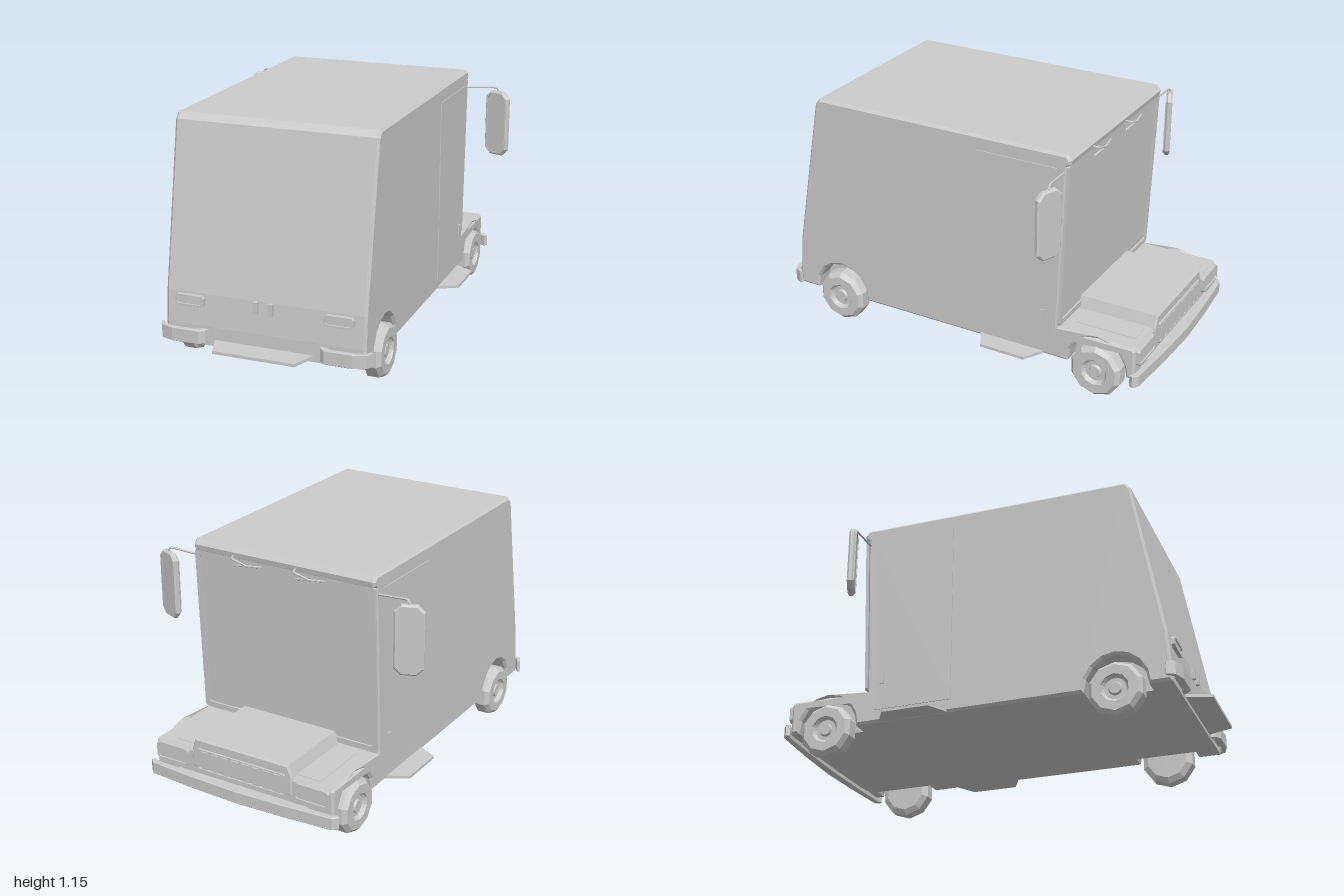
import * as THREE from 'three';

const grey = new THREE.MeshStandardMaterial({ color: 0xcccccc, flatShading: true, side: THREE.DoubleSide });

const shapeOf = pts => new THREE.Shape(pts.map(p => new THREE.Vector2(p[0], p[1])));
const extrude = (shape, depth, bevel = 0) => new THREE.ExtrudeGeometry(shape, {
  depth: depth - 2 * bevel, bevelEnabled: bevel > 0, bevelSize: bevel, bevelThickness: bevel,
  bevelOffset: -bevel, bevelSegments: 1, curveSegments: 6,
}).translate(0, 0, bevel);

// flat plate from an outline in x and z, standing on height y
const plate = (pts, y, height, bevel = 0) =>
  extrude(shapeOf(pts.map(([x, z]) => [x, -z])), height, bevel).rotateX(-Math.PI / 2).translate(0, y, 0);

// rectangle with cut corners, centred on the origin
function cutRect(w, h, c) {
  const a = w / 2, b = h / 2;
  return [[-a + c, -b], [a - c, -b], [a, -b + c], [a, b - c], [a - c, b], [-a + c, b], [-a, b - c], [-a, -b + c]];
}

function frameGeometry(w, h, c, border, depth) {
  const s = shapeOf(cutRect(w, h, c));
  s.holes.push(shapeOf(cutRect(w - 2 * border, h - 2 * border, c * 0.7)));
  return extrude(s, depth);
}

function add(parent, name, geometry, x = 0, y = 0, z = 0) {
  const m = new THREE.Mesh(geometry, grey);
  m.name = name;
  m.position.set(x, y, z);
  parent.add(m);
  return m;
}

// lamp facing +z: raised rim around a sunken lens
function lamp(parent, name, w, h, x, y, z) {
  const g = new THREE.Group();
  g.name = name;
  add(g, 'rim', frameGeometry(w, h, 0.012, 0.009, 0.02));
  add(g, 'lens', extrude(shapeOf(cutRect(w - 0.018, h - 0.018, 0.008)), 0.013));
  g.position.set(x, y, z);
  parent.add(g);
  return g;
}

// points of a wheel arch, from rear to front
function arch(cz) {
  const pts = [];
  for (let i = 0; i <= 8; i++) {
    const a = (i / 8) * Math.PI;
    pts.push([cz - Math.cos(a) * 0.147, 0.13 + Math.sin(a) * 0.16]);
  }
  return pts;
}

const rod = (pts, r) => new THREE.TubeGeometry(
  new THREE.CatmullRomCurve3(pts.map(p => new THREE.Vector3(...p)), false, 'catmullrom', 0.1), 14, r, 6);

export function createModel() {
  const van = new THREE.Group();
  van.name = 'van';
  const rearZ = 0.63, frontZ = -0.757, half = 0.478;

  // body: side profile with wheel arches, extruded across the width
  const profile = [
    ...arch(frontZ), ...arch(rearZ),
    [0.88, 0.13], [0.88, 0.22], [0.868, 0.37], [0.73, 1.12], [0.705, 1.15],
    [-0.59, 1.15], [-0.61, 1.125], [-0.605, 1.1], [-0.592, 1.09], [-0.56, 0.3],
    [-0.56, 0.29], [-0.935, 0.29], [-0.945, 0.275], [-0.945, 0.13],
  ];
  add(van, 'body', extrude(shapeOf(profile), half * 2, 0.012).translate(0, 0, -half).rotateY(-Math.PI / 2));
  for (const z of [frontZ, rearZ]) add(van, 'wheelWell', new THREE.BoxGeometry(0.78, 0.162, 0.3), 0, 0.211, z);

  // raised middle of the hood
  const hood = [[-0.27, 0.2], [0.27, 0.2], [0.27, 0.29], [0.25, 0.347], [-0.25, 0.347], [-0.27, 0.29]];
  add(van, 'hood', extrude(shapeOf(hood), 0.4, 0.008), 0, 0, -0.95);

  // windshield frame and glass, leaning with the front wall
  const windshield = new THREE.Group();
  windshield.name = 'windshield';
  add(windshield, 'frame', frameGeometry(0.95, 0.8, 0.008, 0.025, 0.014));
  add(windshield, 'glass', extrude(shapeOf(cutRect(0.9, 0.75, 0.006)), 0.005), 0, 0, 0.008);
  windshield.position.set(0, 0.7, -0.587);
  windshield.rotation.x = -0.04;
  van.add(windshield);

  // grille
  add(van, 'grilleFrame', frameGeometry(0.47, 0.105, 0.006, 0.006, 0.012), 0, 0.25, -0.96);
  for (let i = 0; i < 8; i++) {
    add(van, 'grilleBar', new THREE.BoxGeometry(0.036, 0.085, 0.012), (i - 3.5) * 0.056, 0.25, -0.955);
  }

  // bumpers and rear step
  add(van, 'frontBumper', plate([
    [-0.485, -0.972], [-0.25, -0.99], [0, -1], [0.25, -0.99], [0.485, -0.972], [0.51, -0.95], [0.5, -0.933],
    [0.475, -0.945], [0.25, -0.955], [0, -0.96], [-0.25, -0.955], [-0.475, -0.945], [-0.5, -0.933], [-0.51, -0.95],
  ], 0.11, 0.06, 0.003));
  add(van, 'bumperMount', new THREE.BoxGeometry(0.7, 0.04, 0.04), 0, 0.15, -0.945);
  add(van, 'rearStep', plate([[-0.24, 0.87], [-0.195, 0.995], [0.195, 0.995], [0.24, 0.87]], 0.147, 0.014));

  for (const s of [-1, 1]) {
    const side = s > 0 ? 'left' : 'right';

    // rear corner bumper
    const outline = [[0.265, 0.875], [0.275, 0.9], [0.3, 0.92], [0.43, 0.92], [0.49, 0.9], [0.51, 0.862],
      [0.495, 0.857], [0.475, 0.885], [0.42, 0.895], [0.32, 0.895], [0.29, 0.875]].map(([x, z]) => [s * x, z]);
    add(van, side + 'RearBumper', plate(outline, 0.145, 0.064, 0.002));
    add(van, side + 'RearBumperMount', new THREE.BoxGeometry(0.12, 0.04, 0.04), s * 0.37, 0.177, 0.885);

    // side step
    add(van, side + 'SideStep', plate([[0.45, -0.5], [0.475, -0.49], [0.57, -0.435], [0.57, -0.21], [0.475, -0.16],
      [0.45, -0.15]].map(([x, z]) => [s * x, z]), 0.133, 0.014));

    // lamps
    lamp(van, side + 'TailLamp', 0.142, 0.052, s * 0.355, 0.335, 0.87);
    lamp(van, side + 'Headlamp', 0.175, 0.082, s * 0.375, 0.24, -0.943).rotation.y = Math.PI;
    add(van, 'rearLatch', new THREE.BoxGeometry(0.022, 0.054, 0.024), s * 0.036, 0.343, 0.876);

    // door and handle
    const door = shapeOf([[-0.14, 0.19], [-0.14, 1.08], [-0.545, 1.08], [-0.515, 0.19]]);
    add(van, side + 'Door', extrude(door, 0.004).rotateY(-Math.PI / 2), s * half + (s > 0 ? 0.004 : 0), 0, 0);
    add(van, side + 'DoorHandle', new THREE.BoxGeometry(0.014, 0.054, 0.022), s * 0.481, 0.341, -0.482);

    // mirror on a bent arm
    const mirror = new THREE.Group();
    mirror.name = side + 'Mirror';
    add(mirror, 'housing', extrude(shapeOf(cutRect(0.135, 0.325, 0.032)), 0.03, 0.008), 0, 0, -0.018);
    add(mirror, 'rim', frameGeometry(0.115, 0.305, 0.026, 0.007, 0.006), 0, 0, 0.01);
    mirror.position.set(s * 0.637, 0.893, -0.585);
    mirror.rotation.y = -s * 0.38;
    van.add(mirror);
    add(van, side + 'MirrorArm', rod([[s * 0.46, 1.063, -0.575], [s * 0.62, 1.074, -0.585],
      [s * 0.637, 1.068, -0.588], [s * 0.638, 1.03, -0.588]], 0.005));

    // wheels: ten-sided tyre with a dished hub
    for (const z of [frontZ, rearZ]) {
      const wheel = new THREE.Group();
      wheel.name = side + (z < 0 ? 'Front' : 'Rear') + 'Wheel';
      const lathe = (pts, n) => new THREE.LatheGeometry(pts.map(p => new THREE.Vector2(...p)), n, Math.PI / 10);
      add(wheel, 'tyre', lathe([[0, -0.045], [0.1, -0.045], [0.127, -0.03], [0.127, 0.025], [0.108, 0.045],
        [0.065, 0.045], [0.06, 0.03]], 10));
      add(wheel, 'hub', lathe([[0.066, 0.044], [0.05, 0.026], [0.032, 0.026], [0.026, 0.036], [0, 0.036]], 20));
      wheel.position.set(s * 0.453, 0.1245, z);
      wheel.rotation.z = -s * Math.PI / 2;
      van.add(wheel);
    }
  }

  // wipers hanging from the top of the windshield
  for (const x of [-0.075, 0.255]) {
    add(van, 'wiperArm', rod([[x, 1.11, -0.605], [x - 0.01, 1.105, -0.635], [x - 0.08, 1.085, -0.63]], 0.005));
    add(van, 'wiperBlade', rod([[x - 0.005, 1.065, -0.61], [x - 0.08, 1.08, -0.625], [x - 0.16, 1.085, -0.615]], 0.005));
  }
  return van;
}
